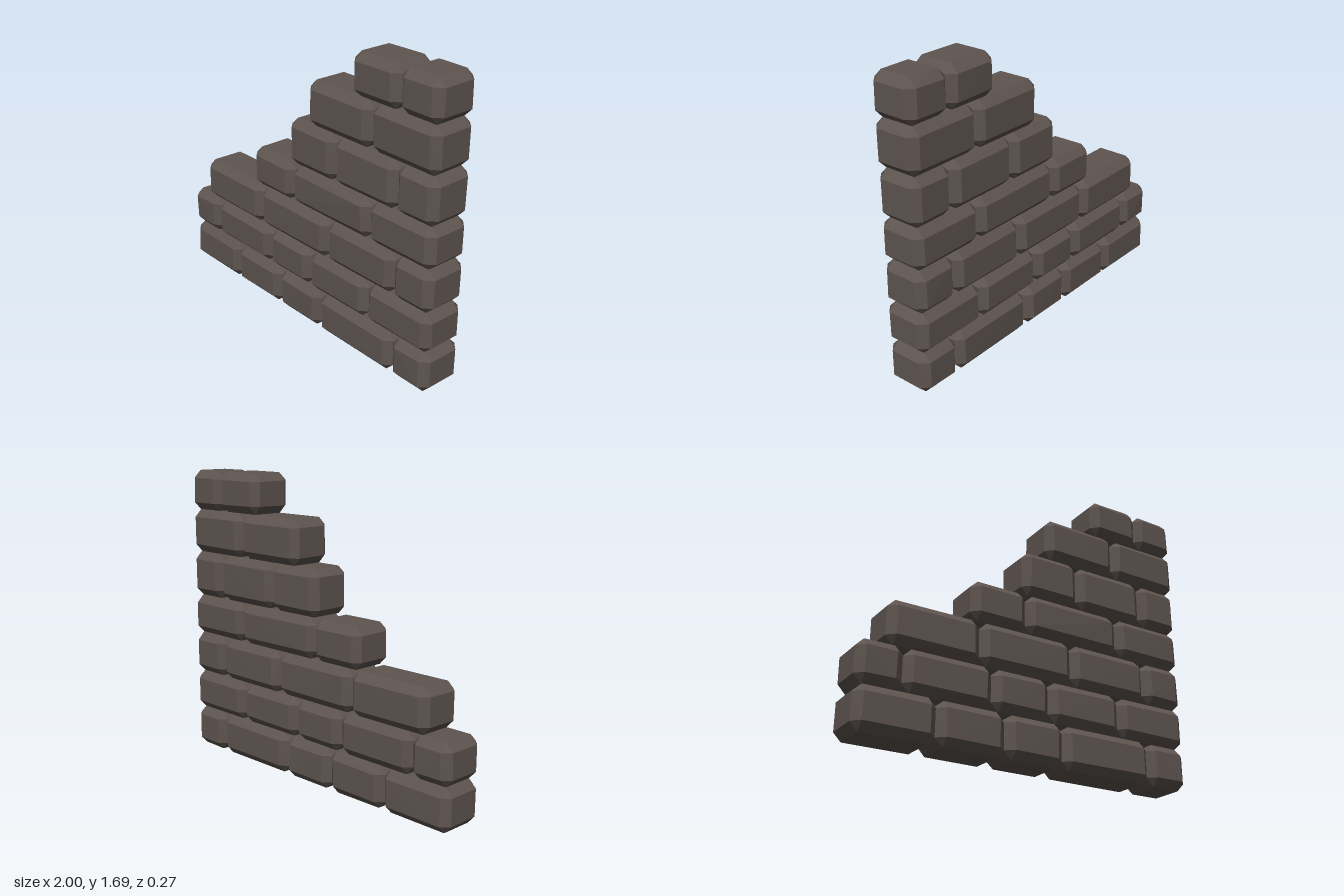
import * as THREE from 'three';
import { ConvexGeometry } from 'three/addons/geometries/ConvexGeometry.js';

// Small repeatable random generator for the uneven stone corners
function makeRandom(seed) {
  return () => (seed = (seed * 16807) % 2147483647) / 2147483647;
}

// Brick with all edges bevelled and each corner slightly uneven
function brickGeometry(x0, x1, y0, y1, random) {
  const bevel = 0.042;
  const half = [(x1 - x0) / 2, (y1 - y0) / 2, 0.137];
  const wobble = () => random() * 0.005;
  const points = [];
  for (const sx of [-1, 1]) for (const sy of [-1, 1]) for (const sz of [-1, 1]) {
    const sign = [sx, sy, sz];
    const inset = [bevel + wobble(), bevel + wobble(), bevel + wobble()];
    const depth = wobble();
    // Three points per corner, one on each adjoining face
    for (let face = 0; face < 3; face++) {
      const p = half.map((h, i) => sign[i] * (h - (i === face ? 0 : inset[i])));
      if (face === 2) p[2] -= sz * depth;
      points.push(new THREE.Vector3(...p));
    }
  }
  return new ConvexGeometry(points);
}

export function createModel() {
  const wall = new THREE.Group();
  wall.name = 'steppedBrickWall';
  const stone = new THREE.MeshStandardMaterial({ color: 0x5e544f });
  stone.name = 'brown grey stone';
  const random = makeRandom(77);

  // Course heights from the ground up, and the joints along each course
  const levels = [0, 0.238, 0.468, 0.712, 0.943, 1.207, 1.46, 1.69];
  const courses = [
    [-1, -0.56, -0.17, 0.18, 0.74, 1],
    [-1, -0.75, -0.25, 0.095, 0.55, 1],
    [-0.85, -0.325, 0.24, 0.735, 1],
    [-0.385, -0.045, 0.555, 1],
    [-0.07, 0.29, 0.735, 1],
    [0.085, 0.55, 1],
    [0.41, 0.735, 1],
  ];

  courses.forEach((joints, row) => {
    const course = new THREE.Group();
    course.name = `course${row + 1}`;
    const y0 = levels[row], y1 = levels[row + 1];
    for (let i = 0; i < joints.length - 1; i++) {
      const x0 = joints[i], x1 = joints[i + 1];
      const brick = new THREE.Mesh(brickGeometry(x0, x1, y0, y1, random), stone);
      brick.name = `brick${i + 1}`;
      brick.position.set((x0 + x1) / 2, (y0 + y1) / 2, 0);
      course.add(brick);
    }
    wall.add(course);
  });

  return wall;
}
